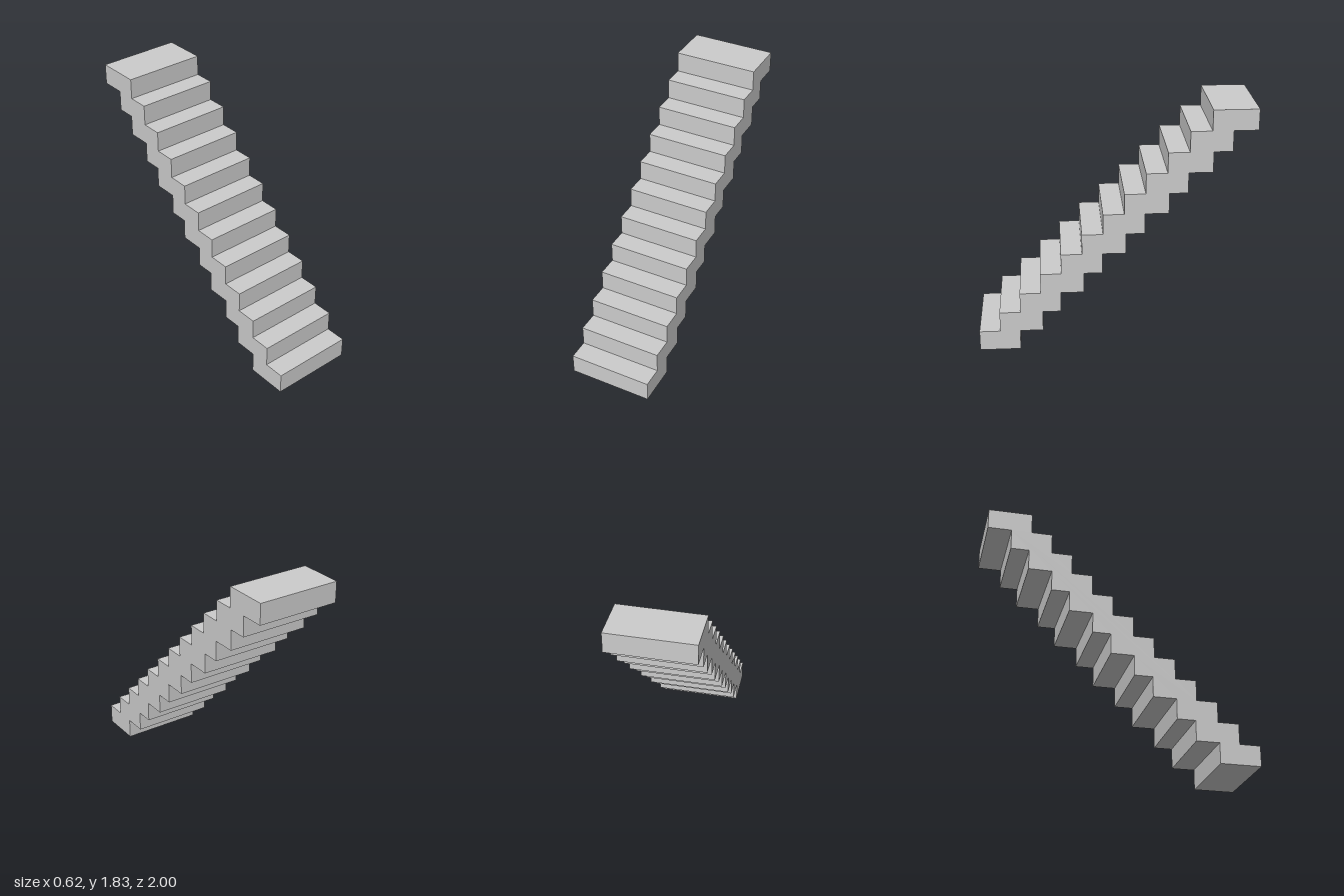
import * as THREE from 'three';

const WIDTH = 0.616;
const RISE = 1.825 / 12;
const GOING = 0.1525;
// Back edge (z) of each step's block, bottom to top; slightly uneven
const BACKS = [0.7, 0.53, 0.395, 0.224, 0.09, -0.081, -0.215, -0.387, -0.52, -0.692, -0.826, -1];

export function createModel() {
  const group = new THREE.Group();
  group.name = 'staircase';

  // Side outline (z, y): up the treads and risers, then down the stepped underside
  const front = [], back = [];
  BACKS.forEach((zBack, i) => {
    const zFront = 1 - i * GOING;
    for (const y of [i * RISE, (i + 1) * RISE]) {
      front.push(new THREE.Vector2(zFront, y));
      back.push(new THREE.Vector2(zBack, y));
    }
  });
  const outline = new THREE.Shape([...front, ...back.reverse()]);

  // Extrude across the width, turning the outline into the z-y plane
  const geometry = new THREE.ExtrudeGeometry(outline, { depth: WIDTH, bevelEnabled: false });
  geometry.translate(0, 0, -WIDTH / 2);
  geometry.rotateY(-Math.PI / 2);

  const material = new THREE.MeshStandardMaterial({ color: 0xcccccc, flatShading: true });
  const steps = new THREE.Mesh(geometry, material);
  steps.name = 'steps';
  group.add(steps);
  return group;
}
